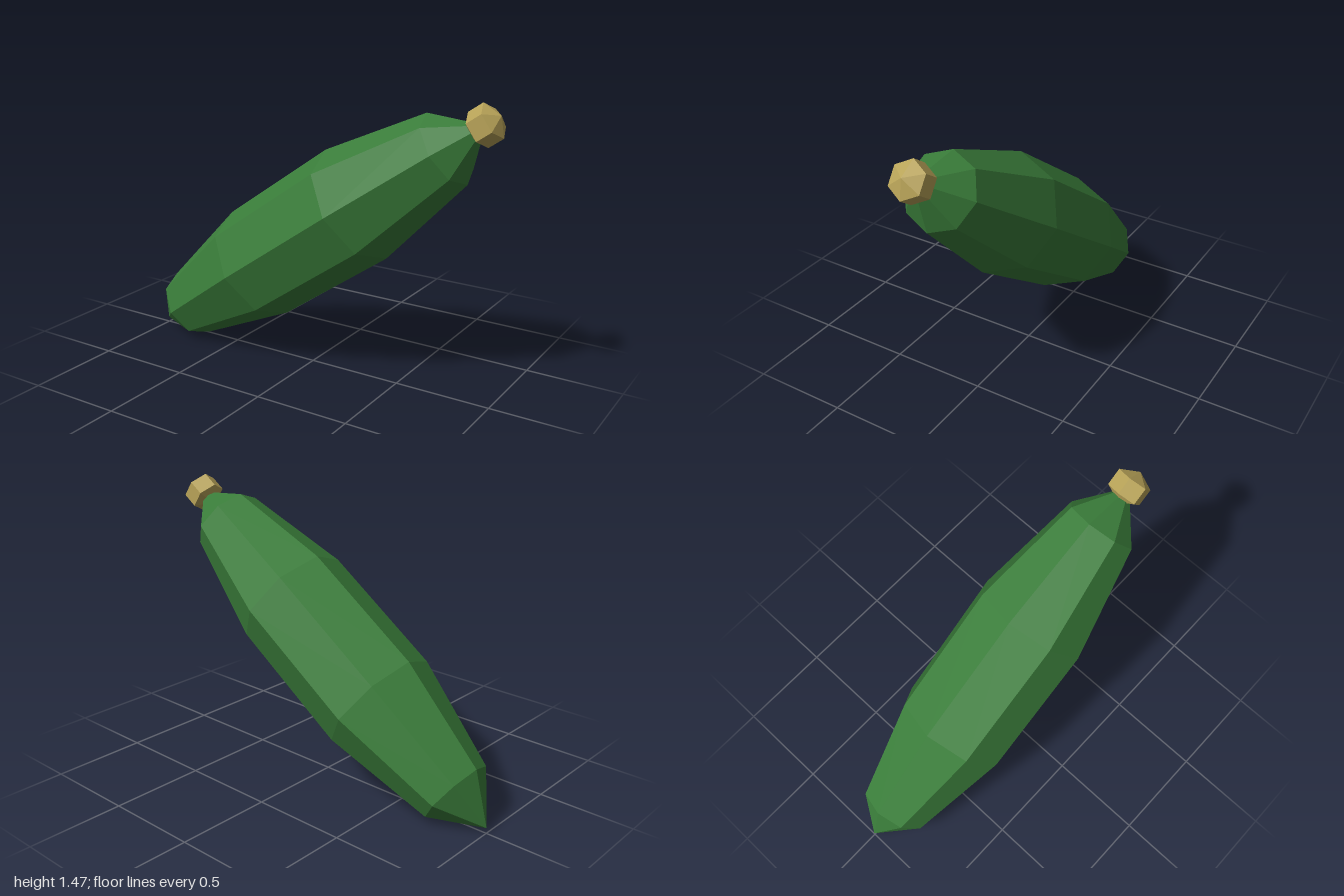
import * as THREE from 'three';

export function createModel() {
  const group = new THREE.Group();
  group.name = 'vegetable';

  const skinGreen = new THREE.MeshStandardMaterial({ color: 0x3a7d3a, flatShading: true });
  skinGreen.name = 'skin green';
  const stemTan = new THREE.MeshStandardMaterial({ color: 0xb8a358, flatShading: true });
  stemTan.name = 'stem tan';

  // Faceted ellipsoid: radius across, half length along its own y axis
  const ellipsoid = (name, material, radius, halfLength, sides, rings, y) => {
    const geometry = new THREE.SphereGeometry(1, sides, rings);
    geometry.scale(radius, halfLength, radius);
    const mesh = new THREE.Mesh(geometry, material);
    mesh.name = name;
    mesh.position.y = y;
    return mesh;
  };

  // Both parts share one long axis, leaning 35 degrees above the ground
  const axis = new THREE.Group();
  axis.name = 'leaningAxis';
  axis.position.set(-0.045, 0.697, 0);
  axis.rotation.z = THREE.MathUtils.degToRad(-55);
  axis.add(
    ellipsoid('body', skinGreen, 0.323, 1.166, 8, 5, 0),
    ellipsoid('stem', stemTan, 0.107, 0.087, 6, 3, 1.166),
  );
  group.add(axis);
  return group;
}
